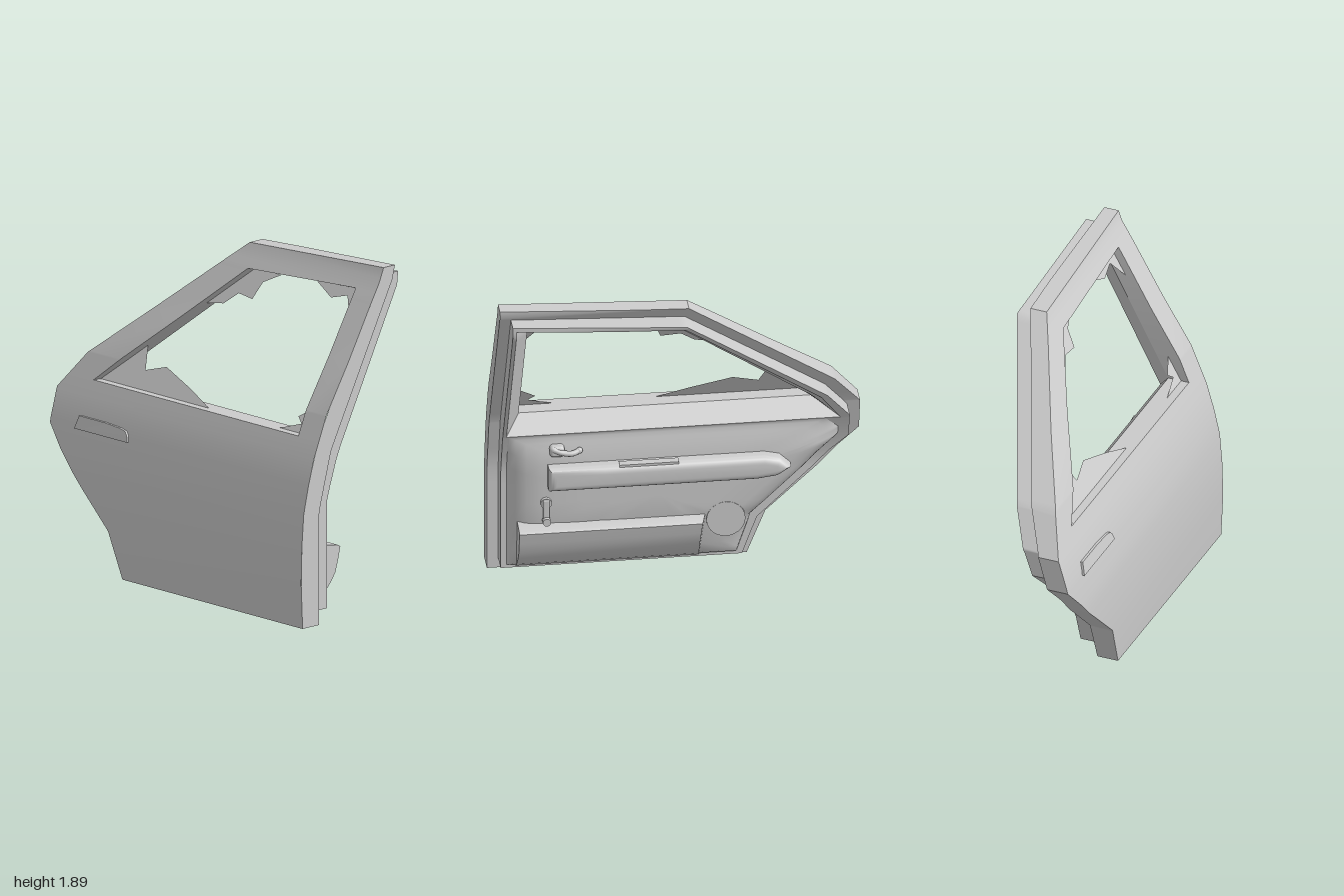
import * as THREE from 'three';
import { toCreasedNormals } from 'three/addons/utils/BufferGeometryUtils.js';
import { RoundedBoxGeometry } from 'three/addons/geometries/RoundedBoxGeometry.js';

const grey = new THREE.MeshStandardMaterial({ color: 0xcccccc });
const thin = new THREE.MeshStandardMaterial({ color: 0xcccccc, side: THREE.DoubleSide });

// Depth curves: z as a function of height, given as [y, z] knots
const curve = (knots) => {
  const f = (y) => {
    let i = 1;
    while (i < knots.length - 1 && y > knots[i][0]) i++;
    const [y0, z0] = knots[i - 1], [y1, z1] = knots[i];
    return z0 + (z1 - z0) * THREE.MathUtils.clamp((y - y0) / (y1 - y0), 0, 1);
  };
  f.levels = knots.map((k) => k[0]);
  return f;
};
const zOuter = curve([[0, 0.375], [0.25, 0.386], [0.45, 0.381], [0.63, 0.367], [0.78, 0.333], [0.93, 0.29], [1.15, 0.2], [1.42, 0.035], [1.72, -0.135], [1.835, -0.203], [1.89, -0.222]]);
const zMiddle = curve([[0, 0.255], [0.62, 0.255], [0.95, 0.165], [1.85, -0.305], [1.89, -0.305]]);
const zInner = curve([[0, 0.14], [0.66, 0.14], [0.9, 0.06], [1.77, -0.385], [1.83, -0.385]]);
const zTrim = curve([[0, 0.1], [0.2, 0.07], [0.4, 0.03], [0.75, 0.03], [0.9, 0.06]]);
const zGlass = (y) => 0.21 - 0.56 * (y - 1.015);

// Outlines, anticlockwise from the front
const skinOutline = [[1, 0], [1, 1.89], [-0.02, 1.835], [-0.85, 1.14], [-1, 0.94], [-1, 0.75], [-0.79, 0.52], [-0.5, 0.25], [-0.4, 0]];
const innerOutline = [[0.94, 0.06], [0.94, 1.83], [0, 1.77], [-0.8, 1.1], [-0.93, 0.92], [-0.93, 0.77], [-0.74, 0.57], [-0.44, 0.28], [-0.36, 0.06]];
const trimOutline = [[0.91, 0.08], [0.91, 0.905], [-0.8, 0.905], [-0.87, 0.84], [-0.87, 0.79], [-0.7, 0.6], [-0.41, 0.32], [-0.33, 0.08]];
const windowOuter = [[0.84, 1.015], [0.85, 1.76], [0.04, 1.715], [-0.699, 1.06], [-0.75, 1.015]];
const windowMiddle = [[0.845, 1.012], [0.845, 1.73], [0.05, 1.695], [-0.675, 1.06], [-0.73, 1.012]];
const windowInner = [[0.92, 0.91], [0.92, 1.803], [0.005, 1.745], [-0.765, 1.09], [-0.88, 0.91]];

function quad(out, a, b, c, d, flip) {
  for (const t of [[a, b, c], [a, c, d]]) {
    const v = t.map((p) => new THREE.Vector3(...p));
    const area = v[1].clone().sub(v[0]).cross(v[2].clone().sub(v[0])).length();
    if (area > 1e-9) out.push(...(flip ? t.reverse() : t).flat());
  }
}

// Leftmost and rightmost x of an outline at height y
function span(poly, y) {
  const xs = [];
  poly.forEach(([x0, y0], i) => {
    const [x1, y1] = poly[(i + 1) % poly.length];
    if (y < Math.min(y0, y1) - 1e-7 || y > Math.max(y0, y1) + 1e-7) return;
    if (Math.abs(y1 - y0) < 1e-7) xs.push(x0, x1);
    else xs.push(x0 + ((x1 - x0) * (y - y0)) / (y1 - y0));
  });
  return xs.length ? [Math.min(...xs), Math.max(...xs)] : null;
}

// Bent sheet with a hole, made of horizontal strips
function sheet(out, poly, hole, z, flip) {
  const ys = poly.map((p) => p[1]);
  const lo = Math.min(...ys), hi = Math.max(...ys);
  const levels = [...new Set([...ys, ...hole.map((p) => p[1]), ...z.levels])]
    .filter((y) => y >= lo && y <= hi).sort((a, b) => a - b);
  for (let i = 1; i < levels.length; i++) {
    const y0 = levels[i - 1], y1 = levels[i];
    const [l0, r0] = span(poly, y0), [l1, r1] = span(poly, y1);
    const strip = (a0, b0, b1, a1) =>
      quad(out, [a0, y0, z(y0)], [b0, y0, z(y0)], [b1, y1, z(y1)], [a1, y1, z(y1)], flip);
    if (span(hole, (y0 + y1) / 2)) {
      const [h0, k0] = span(hole, y0), [h1, k1] = span(hole, y1);
      strip(l0, h0, h1, l1);
      strip(k0, r0, r1, k1);
    } else strip(l0, r0, r1, l1);
  }
}

function loop(poly, z, n) {
  return poly.flatMap(([x0, y0], i) => {
    const [x1, y1] = poly[(i + 1) % poly.length];
    return Array.from({ length: n }, (_, k) => {
      const y = y0 + ((y1 - y0) * k) / n;
      return [x0 + ((x1 - x0) * k) / n, y, z(y)];
    });
  });
}

// Wall between two loops with matching points
function wall(out, back, front, flip) {
  back.forEach((p, i) => {
    const j = (i + 1) % back.length;
    quad(out, p, back[j], front[j], front[i], flip);
  });
}

function build(positions, crease = 0.6) {
  const g = new THREE.BufferGeometry();
  g.setAttribute('position', new THREE.Float32BufferAttribute(positions, 3));
  return toCreasedNormals(g, crease);
}

function shapeOf(points) {
  return new THREE.Shape(points.map((p) => new THREE.Vector2(...p)));
}

export function createModel() {
  const door = new THREE.Group();
  const add = (name, geometry, x = 0, y = 0, z = 0, material = grey) => {
    const m = new THREE.Mesh(geometry, material);
    m.name = name;
    m.position.set(x, y, z);
    door.add(m);
  };
  const N = 24;

  // Outer skin with its thick edge and window reveal
  let out = [];
  sheet(out, skinOutline, windowOuter, zOuter, false);
  sheet(out, skinOutline, windowMiddle, zMiddle, true);
  wall(out, loop(skinOutline, zMiddle, N), loop(skinOutline, zOuter, N), false);
  wall(out, loop(windowMiddle, zMiddle, N), loop(windowOuter, zOuter, N), true);
  add('outerPanel', build(out));

  // Stepped inner frame, its window opening flaring inwards
  out = [];
  sheet(out, innerOutline, windowInner, zInner, true);
  wall(out, loop(innerOutline, zInner, N), loop(innerOutline, zMiddle, N), false);
  wall(out, loop(windowInner, zInner, N), loop(windowMiddle, zMiddle, N), true);
  add('innerFrame', build(out, 0.7));

  // Domed trim panel, rings shrinking towards its middle
  out = [];
  const rings = [[1, 0], [0.985, 0.3], [0.95, 0.6], [0.88, 0.85], [0.78, 0.97], [0.5, 1], [0.25, 1], [0, 1]].map(([s, t]) =>
    loop(trimOutline, () => 0, 8).map(([x, y]) => {
      const px = 0.1 + (x - 0.1) * s, py = 0.52 + (y - 0.52) * s;
      return [px, py, THREE.MathUtils.lerp(zInner(py), zTrim(py), t)];
    }));
  for (let i = 1; i < rings.length; i++) wall(out, rings[i - 1], rings[i], true);
  add('trimPanel', build(out, 1));

  // Storage pocket: a [z, y] profile swept along x, slanted at its rear end
  const pocket = new THREE.ExtrudeGeometry(
    shapeOf([[0.14, 0.07], [0.1, 0.1], [0.07, 0.13], [0.03, 0.175], [0, 0.22], [-0.02, 0.29], [-0.035, 0.355], [-0.02, 0.365], [0.07, 0.38], [0.14, 0.38]]),
    { depth: 1, bevelEnabled: false }).rotateY(-Math.PI / 2).translate(0.86, 0, 0);
  const pp = pocket.attributes.position;
  for (let i = 0; i < pp.count; i++) {
    if (pp.getX(i) < 0) pp.setX(i, pp.getX(i) + 0.15 * (0.38 - pp.getY(i)) - 0.25 * pp.getZ(i));
  }
  add('storagePocket', toCreasedNormals(pocket, 0.6));

  // Rounded armrest with a switch plate on top
  const arm = new THREE.ExtrudeGeometry(
    shapeOf([[0.66, 0.642], [0.66, 0.7], [0.4, 0.7], [-0.46, 0.7], [-0.53, 0.685], [-0.55, 0.67], [-0.52, 0.655], [-0.42, 0.642]]),
    { depth: 0.06, bevelThickness: 0.04, bevelSize: 0.04, bevelSegments: 6 });
  add('armrest', toCreasedNormals(arm, 0.9), 0, 0, -0.005);
  add('switchPlate', new THREE.BoxGeometry(0.32, 0.014, 0.045), 0.16, 0.737, -0.008);

  // Interior release handle on its cup
  add('releaseCup', new RoundedBoxGeometry(0.08, 0.065, 0.07, 3, 0.02), 0.65, 0.82, 0.045);
  const lever = new THREE.CatmullRomCurve3([[0.67, 0.835, 0.02], [0.62, 0.815, 0.015], [0.57, 0.81, 0.012], [0.53, 0.82, 0.025]]
    .map((p) => new THREE.Vector3(...p)));
  add('releaseLever', new THREE.TubeGeometry(lever, 16, 0.016, 10));
  add('releaseLeverTip', new THREE.SphereGeometry(0.018, 12, 8), 0.53, 0.82, 0.025);

  // Window winder
  const disc = (name, r, depth, x, y, z) =>
    add(name, new THREE.CylinderGeometry(r, r, depth, 28).rotateX(Math.PI / 2), x, y, z);
  disc('winderHub', 0.03, 0.04, 0.71, 0.51, 0.032);
  add('winderArm', new RoundedBoxGeometry(0.036, 0.14, 0.018, 3, 0.008), 0.71, 0.465, 0.014);
  disc('winderKnob', 0.022, 0.035, 0.71, 0.41, 0.0);

  // Speaker
  disc('speaker', 0.105, 0.1, -0.26, 0.34, 0.08);

  // Exterior handle, following the slope of the skin
  const handle = new THREE.ExtrudeGeometry(
    shapeOf([[-0.8, 0.755], [-0.39, 0.755], [-0.4, 0.79], [-0.42, 0.81], [-0.46, 0.818], [-0.58, 0.825], [-0.78, 0.825]]),
    { depth: 0.03, bevelEnabled: false });
  const hp = handle.attributes.position;
  for (let i = 0; i < hp.count; i++) hp.setZ(i, hp.getZ(i) - 0.017 + zOuter(hp.getY(i)));
  add('exteriorHandle', toCreasedNormals(handle, 0.5));

  // Broken glass left around the window edge
  const shards = [
    [[-0.75, 1.015], [0.1, 1.015], [-0.08, 1.08], [-0.31, 1.15], [-0.45, 1.11], [-0.5, 1.23]],
    [[-0.21, 1.49], [-0.08, 1.51], [0, 1.575], [0.11, 1.565], [0.14, 1.655], [0.25, 1.71], [0.04, 1.715]],
    [[0.5, 1.735], [0.66, 1.67], [0.77, 1.7], [0.85, 1.59], [0.85, 1.75]],
    [[0.65, 1.015], [0.84, 1.015], [0.84, 1.15], [0.75, 1.09], [0.79, 1.06]],
  ];
  shards.forEach((points) => {
    const g = new THREE.ShapeGeometry(shapeOf(points));
    const p = g.attributes.position;
    for (let i = 0; i < p.count; i++) p.setZ(i, zGlass(p.getY(i)));
    g.computeVertexNormals();
    add('glassShard', g, 0, 0, 0, thin);
  });
  return door;
}
